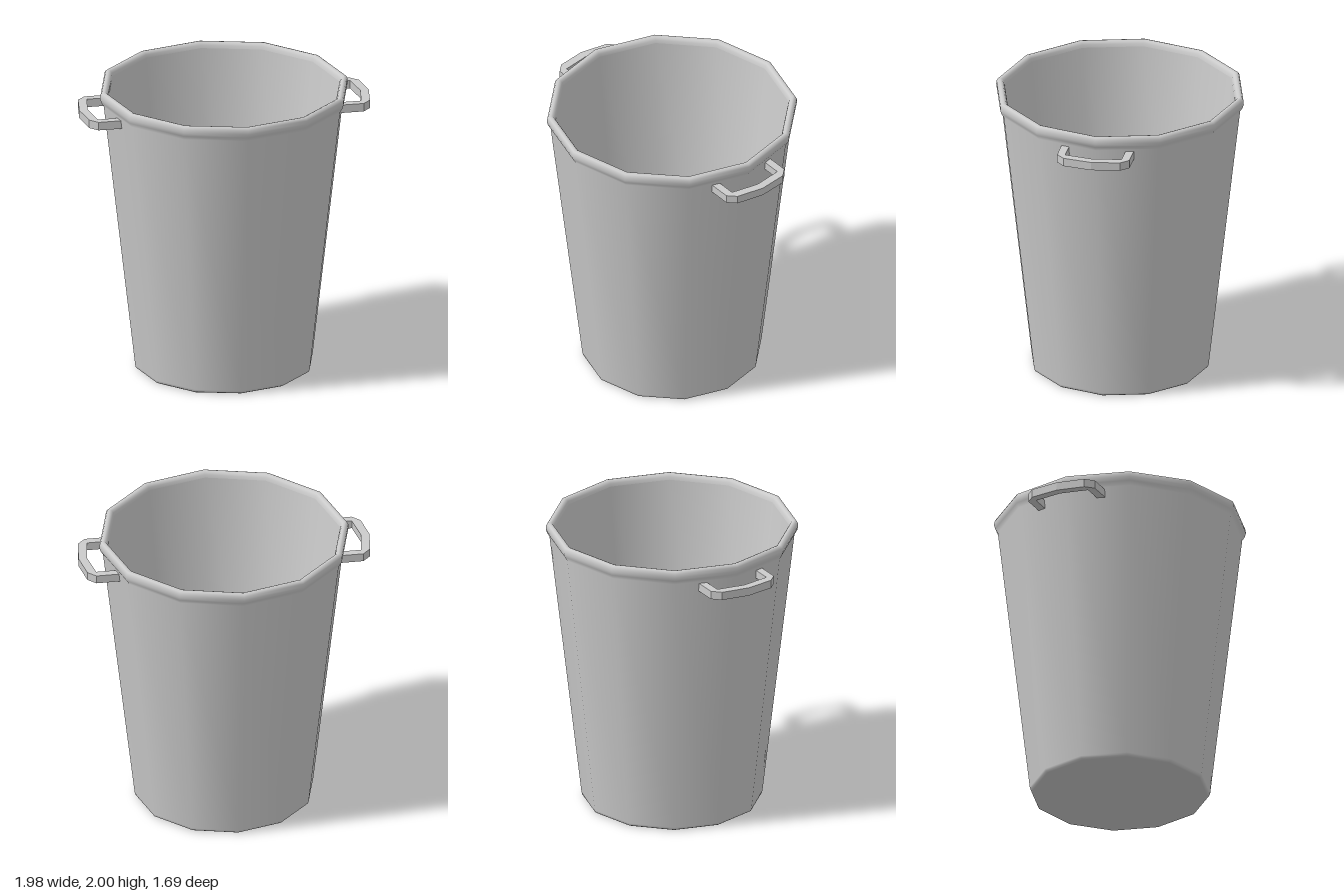
import * as THREE from 'three';

const SIDES = 12;
const material = new THREE.MeshStandardMaterial({ color: 0xcccccc });
const flatMaterial = new THREE.MeshStandardMaterial({ color: 0xcccccc, flatShading: true });

const toPoints = (list) => list.map(([x, y]) => new THREE.Vector2(x, y));

function addMesh(parent, name, geometry, mat = material) {
  const mesh = new THREE.Mesh(geometry, mat);
  mesh.name = name;
  parent.add(mesh);
  return mesh;
}

export function createModel() {
  const bucket = new THREE.Group();
  bucket.name = 'bucket';

  // Underside, tapered outer wall and rolled rim, down to the inner lip
  const shell = toPoints([
    [0, 0], [0.59, 0], [0.602, 0.008], [0.607, 0.025],
    [0.822, 1.9], [0.84, 1.93], [0.847, 1.955], [0.845, 1.98], [0.836, 1.996],
    [0.82, 2], [0.805, 1.995], [0.795, 1.98], [0.79, 1.96],
  ]);
  addMesh(bucket, 'outerShell', new THREE.LatheGeometry(shell, SIDES));

  // Inner wall and flat floor
  const floorY = 0.04, floorR = 0.567;
  addMesh(bucket, 'innerWall',
    new THREE.LatheGeometry(toPoints([[0.79, 1.96], [floorR, floorY]]), SIDES));
  const floor = new THREE.CircleGeometry(floorR, SIDES).rotateX(-Math.PI / 2).translate(0, floorY, 0);
  addMesh(bucket, 'innerFloor', floor);

  // Flat bracket handles, one on each side, ends sunk into the wall
  const outline = [
    [0.745, 0.247], [0.907, 0.247], [0.96, 0.193], [0.99, 0],
    [0.96, -0.193], [0.907, -0.247], [0.745, -0.247], [0.755, -0.193],
    [0.9, -0.193], [0.932, 0], [0.9, 0.193], [0.755, 0.193],
  ];
  const handle = new THREE.ExtrudeGeometry(new THREE.Shape(toPoints(outline).reverse()),
    { depth: 0.057, bevelEnabled: false });
  handle.rotateX(-Math.PI / 2).translate(0, 1.829, 0);
  addMesh(bucket, 'leftHandle', handle, flatMaterial);
  addMesh(bucket, 'rightHandle', handle, flatMaterial).rotation.y = Math.PI;

  return bucket;
}
